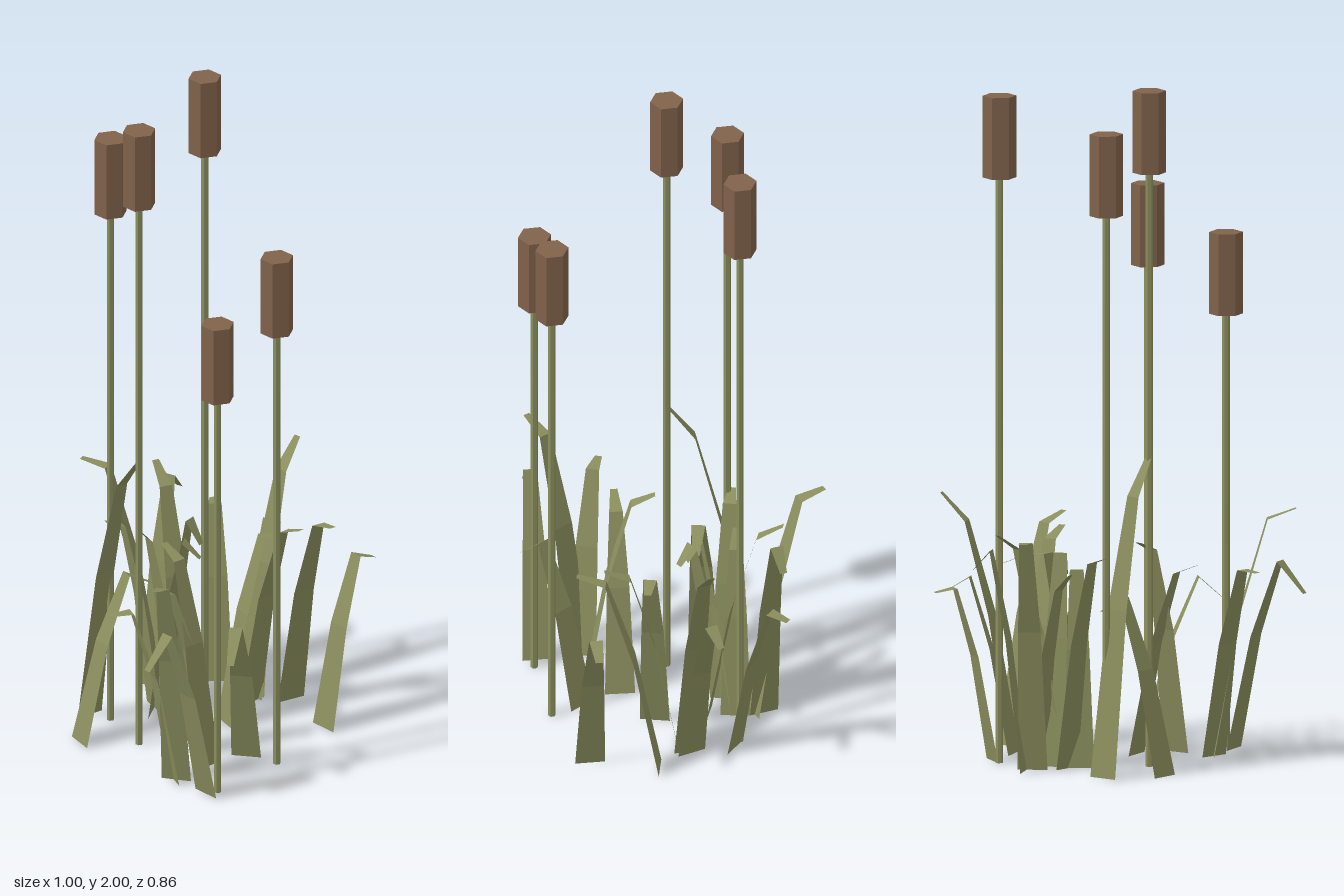
import * as THREE from 'three';

const reedGreen = new THREE.MeshStandardMaterial({ color: 0x8b8f5e, flatShading: true, side: THREE.DoubleSide });
reedGreen.name = 'reed green';
const headBrown = new THREE.MeshStandardMaterial({ color: 0x80624a, flatShading: true });
headBrown.name = 'seed head brown';

// x, z, top height of each seed head
const REEDS = [
  [-0.17, 0, 2], [-0.115, -0.17, 1.895], [0.247, -0.14, 1.975],
  [0.02, 0.375, 1.65], [-0.232, 0.38, 1.525],
];

// base x, base z, tip x, tip z, height of the last bend, height of the tip
const BLADES = [
  [0.11, -0.20, 0.03, -0.43, 0.70, 0.71],
  [0.12, -0.235, 0.27, -0.265, 0.65, 0.59],
  [0.10, -0.075, 0.185, -0.28, 0.65, 0.70],
  [0.28, -0.12, 0.40, -0.255, 0.52, 0.51],
  [0.285, 0.01, 0.46, -0.045, 0.52, 0.48],
  [0.275, 0.017, 0.50, -0.01, 0.68, 0.76],
  [0.28, 0.31, 0.48, 0.32, 0.52, 0.49],
  [0.345, 0.115, 0.28, 0.35, 0.64, 0.665],
  [0.25, 0.045, 0.24, 0.26, 0.61, 0.64],
  [0.10, 0.085, 0.28, 0.14, 0.58, 0.57],
  [0.00, -0.115, 0.075, 0.01, 0.57, 0.52],
  [0.08, -0.13, 0.10, -0.01, 0.62, 0.55],
  [0.03, -0.135, -0.12, -0.185, 0.62, 0.64],
  [0.12, -0.15, 0.00, -0.175, 0.53, 0.58],
  [-0.285, -0.13, -0.05, -0.065, 0.51, 0.46],
  [-0.135, -0.235, -0.17, 0.00, 0.81, 0.92],
  [-0.05, 0.16, -0.26, 0.14, 0.55, 0.58],
  [-0.135, 0.245, -0.112, 0.045, 0.62, 0.65],
  [-0.265, 0.235, -0.448, 0.15, 0.57, 0.57],
  [-0.26, 0.24, -0.47, 0.36, 0.70, 0.73],
  [-0.265, 0.365, -0.50, 0.355, 0.57, 0.48],
  [-0.01, 0.28, -0.22, 0.42, 0.50, 0.42],
];

// A flat strip of three bent segments, tapering towards the tip
function bladeGeometry([bx, bz, tx, tz, bendY, tipY]) {
  const dx = tx - bx, dz = tz - bz, len = Math.hypot(dx, dz);
  const px = -dz / len, pz = dx / len;
  const sections = [
    { t: 0, y: 0, w: 0.088 },
    { t: 0.31, y: bendY * 0.6, w: 0.066 },
    { t: 0.65, y: bendY, w: 0.04 },
    { t: 1, y: tipY, w: 0.021 },
  ];
  const positions = [], index = [];
  sections.forEach(({ t, y, w }, i) => {
    for (const s of [-0.5, 0.5]) {
      positions.push(bx + dx * t + px * w * s, y, bz + dz * t + pz * w * s);
    }
    if (i < sections.length - 1) {
      const a = i * 2;
      index.push(a, a + 1, a + 2, a + 1, a + 3, a + 2);
    }
  });
  const geometry = new THREE.BufferGeometry();
  geometry.setAttribute('position', new THREE.Float32BufferAttribute(positions, 3));
  geometry.setIndex(index);
  const flat = geometry.toNonIndexed();
  flat.computeVertexNormals();
  return flat;
}

export function createModel() {
  const model = new THREE.Group();
  model.name = 'reed clump';
  const headHeight = 0.242;

  // Thin stems topped with hexagonal seed heads
  for (const [x, z, top] of REEDS) {
    const reed = new THREE.Group();
    reed.name = 'reed';
    reed.position.set(x, 0, z);
    const stemHeight = top - headHeight;
    const stem = new THREE.Mesh(new THREE.CylinderGeometry(0.011, 0.011, stemHeight, 6), reedGreen);
    stem.name = 'stem';
    stem.position.y = stemHeight / 2;
    const head = new THREE.Mesh(new THREE.CylinderGeometry(0.049, 0.049, headHeight, 6), headBrown);
    head.name = 'seedHead';
    head.position.y = top - headHeight / 2;
    reed.add(stem, head);
    model.add(reed);
  }

  // Drooping leaf blades
  for (const spec of BLADES) {
    const blade = new THREE.Mesh(bladeGeometry(spec), reedGreen);
    blade.name = 'leafBlade';
    model.add(blade);
  }
  return model;
}
